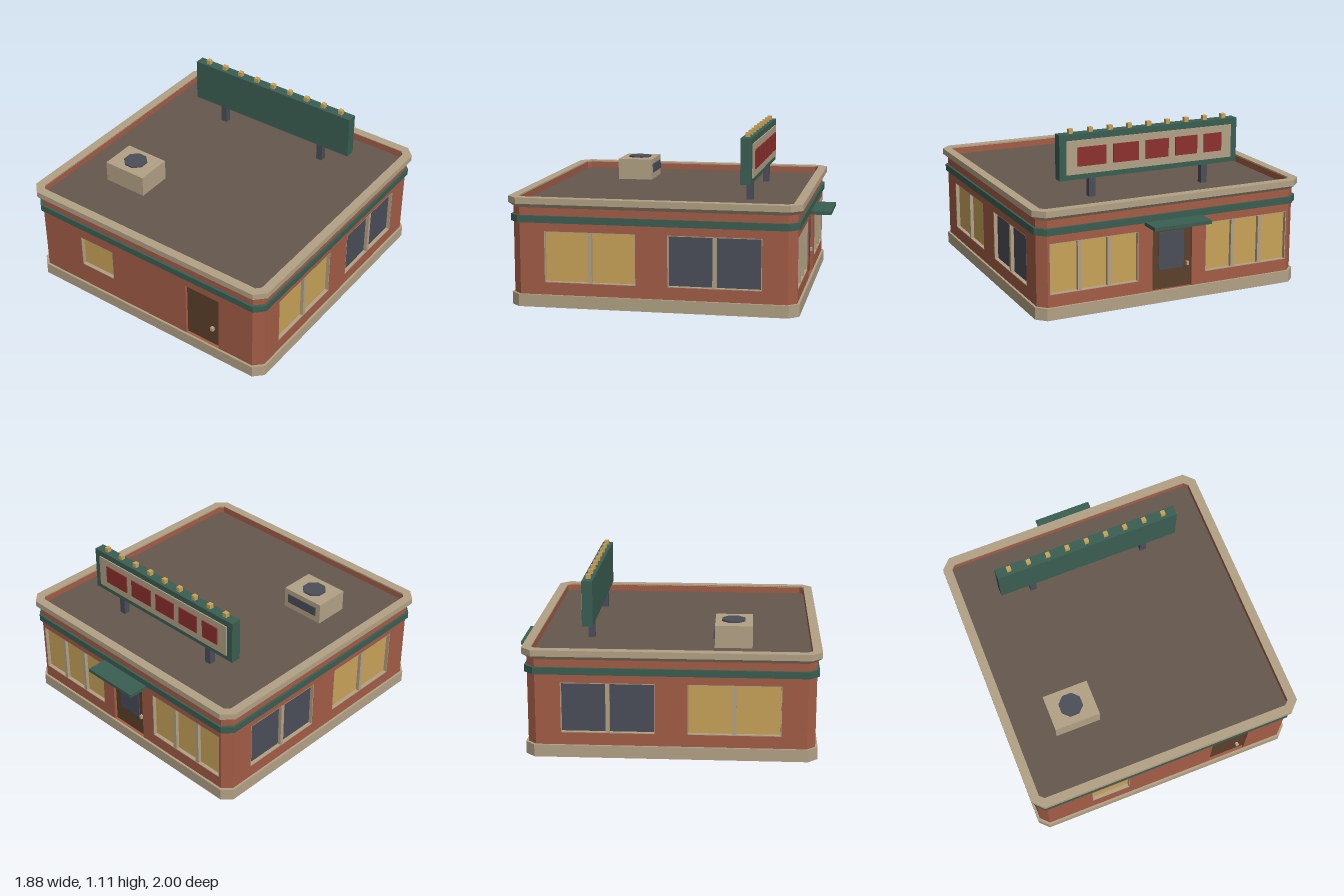
import * as THREE from 'three';

const paint = (name, color) => {
  const m = new THREE.MeshStandardMaterial({ color });
  m.name = name;
  return m;
};

export function createModel() {
  const brick = paint('brick', 0xa35c46);
  const stone = paint('stone trim', 0xb2a185);
  const green = paint('green', 0x3a5e52);
  const tar = paint('roof tar', 0x64574e);
  const amber = paint('amber glass', 0xc9a359);
  const slate = paint('slate', 0x4b4e59);
  const wood = paint('door wood', 0x5b402a);
  const red = paint('red', 0x8c302e);

  const model = new THREE.Group();
  const shell = new THREE.Group();
  shell.name = 'building';
  shell.position.z = 0.06;
  model.add(shell);

  const add = (parent, name, geometry, material) => {
    const mesh = new THREE.Mesh(geometry, material);
    mesh.name = name;
    parent.add(mesh);
    return mesh;
  };
  // Box given by its low and high limits on each axis
  const box = (parent, name, material, x0, x1, y0, y1, z0, z1) => {
    const mesh = add(parent, name, new THREE.BoxGeometry(x1 - x0, y1 - y0, z1 - z0), material);
    mesh.position.set((x0 + x1) / 2, (y0 + y1) / 2, (z0 + z1) / 2);
    return mesh;
  };

  // Square of half width h with corners cut by c
  const octagon = (h, c) => [
    [h, c - h], [h, h - c], [h - c, h], [c - h, h],
    [-h, h - c], [-h, c - h], [c - h, -h], [h - c, -h],
  ];
  // Moulding: sweeps [half width, corner cut, y] points around the building
  const moulding = (name, material, profile) => {
    const pos = [];
    for (let i = 0; i < profile.length - 1; i++) {
      const [h0, c0, y0] = profile[i];
      const [h1, c1, y1] = profile[i + 1];
      const low = octagon(h0, c0), high = octagon(h1, c1);
      for (let k = 0; k < 8; k++) {
        const n = (k + 1) % 8;
        const a = [low[k][0], y0, low[k][1]], b = [low[n][0], y0, low[n][1]];
        const d = [high[k][0], y1, high[k][1]], e = [high[n][0], y1, high[n][1]];
        pos.push(...a, ...d, ...b, ...b, ...d, ...e);
      }
    }
    const g = new THREE.BufferGeometry();
    g.setAttribute('position', new THREE.Float32BufferAttribute(pos, 3));
    g.computeVertexNormals();
    add(shell, name, g, material);
  };

  moulding('plinth', stone, [[0.91, 0.055, 0], [0.925, 0.06, 0], [0.925, 0.06, 0.08], [0.91, 0.055, 0.08]]);
  moulding('greenBand', green, [[0.91, 0.055, 0.545], [0.925, 0.06, 0.545], [0.925, 0.06, 0.59], [0.91, 0.055, 0.59]]);
  moulding('cornice', stone, [[0.91, 0.055, 0.64], [0.94, 0.067, 0.665], [0.94, 0.067, 0.705],
    [0.88, 0.028, 0.705], [0.88, 0.028, 0.695]]);

  // Roof deck
  const deck = new THREE.Shape(octagon(0.882, 0.025).map(([x, z]) => new THREE.Vector2(x, z)));
  const deckGeo = new THREE.ExtrudeGeometry(deck, { depth: 0.01, bevelEnabled: false });
  deckGeo.rotateX(-Math.PI / 2).translate(0, 0.642, 0);
  add(shell, 'roofDeck', deckGeo, tar);

  // Walls with openings [x0, x1, y0, y1]
  const rect = (Type, x0, x1, y0, y1) => new Type([
    new THREE.Vector2(x0, y0), new THREE.Vector2(x1, y0),
    new THREE.Vector2(x1, y1), new THREE.Vector2(x0, y1),
  ]);
  const plate = (outer, holes, depth, z) => {
    const s = rect(THREE.Shape, ...outer);
    holes.forEach((h) => s.holes.push(rect(THREE.Path, ...h)));
    return new THREE.ExtrudeGeometry(s, { depth, bevelEnabled: false }).translate(0, 0, z);
  };
  const buildWall = (name, turn, windows, doors) => {
    const wall = new THREE.Group();
    wall.name = name;
    wall.rotation.y = turn;
    shell.add(wall);
    const holes = [...windows.map((w) => w.rect), ...doors];
    add(wall, name + 'Panel', plate([-0.855, 0.855, 0, 0.7], holes, 0.03, 0.88), brick);
    for (const { rect: r, glass, panes } of windows) {
      const [x0, x1, y0, y1] = r;
      const t = 0.005;
      add(wall, 'windowFrame', plate(r, [[x0 + t, x1 - t, y0 + t, y1 - t]], 0.029, 0.8805), stone);
      box(wall, 'windowPane', glass, x0, x1, y0, y1, 0.879, 0.885);
      for (let i = 1; i < panes; i++) {
        const x = x0 + ((x1 - x0) * i) / panes;
        box(wall, 'mullion', stone, x - 0.013, x + 0.013, y0, y1, 0.885, 0.908);
      }
    }
    for (const d of doors) box(wall, 'door', wood, ...d, 0.878, 0.89);
    // Cut corner beside the wall
    const corner = new THREE.Shape([[0.91, -0.855], [0.855, -0.91], [0.855, -0.88], [0.88, -0.855]]
      .map(([x, y]) => new THREE.Vector2(x, y)));
    const cornerGeo = new THREE.ExtrudeGeometry(corner, { depth: 0.7, bevelEnabled: false });
    add(wall, 'wallCorner', cornerGeo.rotateX(-Math.PI / 2), brick);
    return wall;
  };
  const amberWin = { rect: [-0.695, -0.105, 0.16, 0.49], glass: amber, panes: 2 };
  const darkWin = { rect: [0.1, 0.695, 0.16, 0.49], glass: slate, panes: 2 };
  const flip = (w) => ({ ...w, rect: [-w.rect[1], -w.rect[0], w.rect[2], w.rect[3]] });
  const shopWin = { rect: [0.24, 0.84, 0.16, 0.49], glass: amber, panes: 3 };

  const front = buildWall('frontWall', 0,
    [{ rect: [-0.535, -0.265, 0.23, 0.46], glass: amber, panes: 1 }], [[0.335, 0.595, 0.08, 0.48]]);
  box(front, 'doorKnob', stone, 0.53, 0.55, 0.203, 0.228, 0.89, 0.912);
  buildWall('leftWall', Math.PI / 2, [amberWin, darkWin], []);
  buildWall('rightWall', -Math.PI / 2, [flip(amberWin), flip(darkWin)], []);
  const back = buildWall('backWall', Math.PI, [shopWin, flip(shopWin)], [[-0.14, 0.14, 0.08, 0.5]]);
  box(back, 'doorGlass', slate, -0.09, 0.09, 0.21, 0.46, 0.89, 0.896);
  box(back, 'doorKnob', stone, 0.105, 0.122, 0.22, 0.245, 0.89, 0.91);
  box(back, 'awning', green, -0.2, 0.2, 0.527, 0.55, 0.9, 1.06);

  // Roof sign, facing the back
  const sign = new THREE.Group();
  sign.name = 'roofSign';
  model.add(sign);
  box(sign, 'signBoard', green, -0.635, 0.635, 0.78, 1.075, -0.525, -0.455);
  box(sign, 'signFace', stone, -0.59, 0.59, 0.815, 1.035, -0.533, -0.525);
  const tiles = [[0.32, 0.515], [0.09, 0.27], [-0.125, 0.04], [-0.335, -0.175], [-0.515, -0.385]];
  for (const [x0, x1] of tiles) box(sign, 'signTile', red, x0, x1, 0.867, 0.99, -0.541, -0.533);
  for (const x of [-0.405, 0.405]) box(sign, 'signPost', slate, x - 0.022, x + 0.022, 0.65, 0.78, -0.51, -0.467);
  for (let i = 0; i < 9; i++) {
    const x = (i - 4) * 0.1365;
    box(sign, 'signLamp', amber, x - 0.015, x + 0.015, 1.075, 1.105, -0.505, -0.475);
  }

  // Rooftop cooling unit
  const cooler = new THREE.Group();
  cooler.name = 'coolingUnit';
  model.add(cooler);
  box(cooler, 'coolerBody', stone, -0.63, -0.32, 0.65, 0.797, 0.325, 0.567);
  box(cooler, 'coolerVent', slate, -0.595, -0.355, 0.7, 0.762, 0.317, 0.325);
  const fanGeo = new THREE.CylinderGeometry(0.081, 0.081, 0.01, 8).rotateY(Math.PI / 8).toNonIndexed();
  fanGeo.computeVertexNormals();
  add(cooler, 'coolerFan', fanGeo, slate).position.set(-0.477, 0.802, 0.443);

  return model;
}
